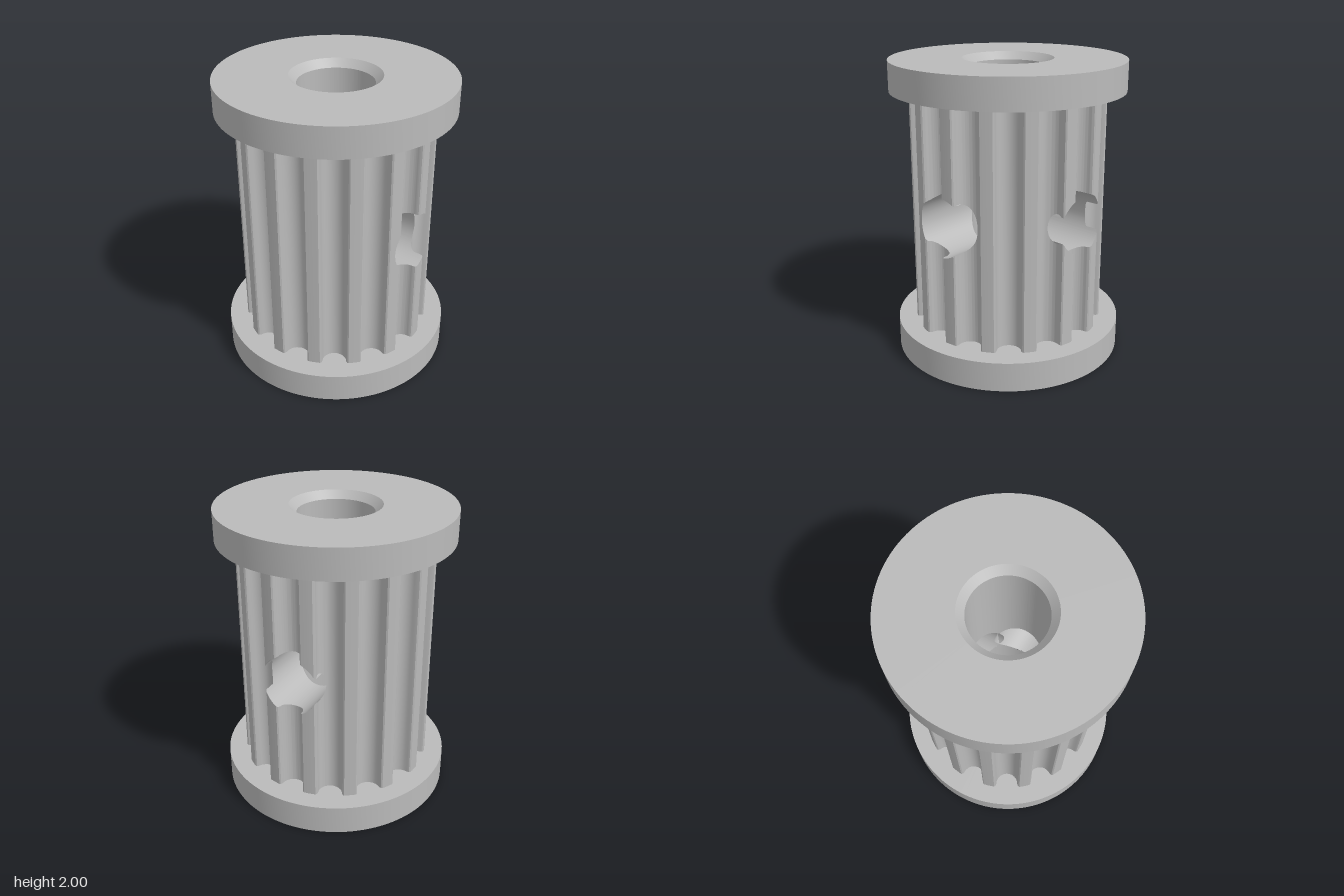
import * as THREE from 'three';
import { toCreasedNormals } from 'three/addons/utils/BufferGeometryUtils.js';

const TEETH = 15, R_OUT = 0.65, R_BORE = 0.25, R_HOLE = 0.2, MID = 1;
const GROOVE_R = 0.08, GROOVE_C = 0.622;
const rad = THREE.MathUtils.degToRad;

// Screw holes: u is the direction in plan (x, z), v is across it
const HOLES = [
  { u: [1, 0], v: [0, 1] },
  { u: [0, -1], v: [1, 0] },
];
const across = (hole, p) => p[0] * hole.v[0] + p[1] * hole.v[1];
const facing = (hole, p) => p[0] * hole.u[0] + p[1] * hole.u[1] > 0;
const halfHeight = (hole, p) => Math.sqrt(Math.max(0, R_HOLE ** 2 - across(hole, p) ** 2));
const mix = (a, b, t) => [a[0] + (b[0] - a[0]) * t, a[1] + (b[1] - a[1]) * t];

// Toothed outline in plan, one tooth lying at +z
function toothedOutline() {
  const pts = [];
  for (let i = 0; i < TEETH; i++) {
    const g = rad(102 + (i * 360) / TEETH), c = Math.cos(g), s = Math.sin(g);
    const add = (w, r) => pts.push([r * c - w * s, r * s + w * c]);
    add(-0.096, 0.643);
    add(-0.086, 0.637);
    for (let k = 0; k <= 12; k++) {
      const t = Math.PI * (k / 12);
      add(-GROOVE_R * Math.cos(t), GROOVE_C - GROOVE_R * Math.sin(t));
    }
    add(0.086, 0.637);
    add(0.096, 0.643);
    for (const deg of [10.8, 13.2]) add(R_OUT * Math.sin(rad(deg)), R_OUT * Math.cos(rad(deg)));
  }
  return pts;
}

function circleOutline(r, n) {
  return Array.from({ length: n }, (_, i) => {
    const a = (i / n) * Math.PI * 2;
    return [r * Math.cos(a), r * Math.sin(a)];
  });
}

// Add points near the holes, and exactly where the hole edges cross the outline
function refine(pts) {
  const out = [];
  pts.forEach((a, i) => {
    const b = pts[(i + 1) % pts.length];
    const ts = [0];
    for (const hole of HOLES) {
      if (!facing(hole, a)) continue;
      const da = across(hole, a), db = across(hole, b);
      if (Math.min(Math.abs(da), Math.abs(db)) > R_HOLE) continue;
      for (let k = 1; k < 6; k++) ts.push(k / 6);
      for (const edge of [-R_HOLE, R_HOLE]) {
        const t = (edge - da) / (db - da);
        if (t > 0 && t < 1) ts.push(t);
      }
    }
    ts.sort((p, q) => p - q).forEach((t) => out.push(mix(a, b, t)));
  });
  return out;
}

function quadBuilder() {
  const pos = [];
  return {
    quad(a, b, c, d) { for (const p of [a, b, c, a, c, d]) pos.push(...p); },
    build(crease) {
      const geo = new THREE.BufferGeometry();
      geo.setAttribute('position', new THREE.Float32BufferAttribute(pos, 3));
      return toCreasedNormals(geo, crease);
    },
  };
}

// Upright wall over an outline, split above and below the screw holes
function wall(pts, y0, y1) {
  const q = quadBuilder();
  const gap = (p) => Math.max(...HOLES.map((h) => (facing(h, p) ? halfHeight(h, p) : 0)));
  pts.forEach((a, i) => {
    const b = pts[(i + 1) % pts.length], ha = gap(a), hb = gap(b);
    const at = (p, y) => [p[0], y, p[1]];
    q.quad(at(a, y0), at(a, MID - ha), at(b, MID - hb), at(b, y0));
    q.quad(at(a, MID + ha), at(a, y1), at(b, y1), at(b, MID + hb));
  });
  return q.build(rad(35));
}

// Round inside of a screw hole, from the bore out to the toothed outline
function holeLining(hole, pts) {
  const q = quadBuilder();
  const bore = (p) => {
    const d = across(hole, p), r = Math.sqrt(R_BORE ** 2 - d * d);
    return [hole.u[0] * r + hole.v[0] * d, hole.u[1] * r + hole.v[1] * d];
  };
  const inside = (p) => facing(hole, p) && Math.abs(across(hole, p)) < R_HOLE + 1e-6;
  pts.forEach((a, i) => {
    const b = pts[(i + 1) % pts.length];
    if (!inside(a) || !inside(b)) return;
    const ai = bore(a), bi = bore(b);
    for (const side of [1, -1]) {
      const ya = MID + side * halfHeight(hole, a), yb = MID + side * halfHeight(hole, b);
      const A = [a[0], ya, a[1]], B = [b[0], yb, b[1]];
      const Ai = [ai[0], ya, ai[1]], Bi = [bi[0], yb, bi[1]];
      if (side > 0) q.quad(Ai, A, B, Bi);
      else q.quad(Ai, Bi, B, A);
    }
  });
  return q.build(rad(40));
}

// Flange ring with a chamfered bore mouth
function flange(profile) {
  const pts = profile.map(([x, y]) => new THREE.Vector2(x, y));
  return toCreasedNormals(new THREE.LatheGeometry(pts, 120), rad(30));
}

export function createModel() {
  const group = new THREE.Group();
  const metal = new THREE.MeshStandardMaterial({ color: 0xbababa });
  metal.name = 'grey metal';
  const add = (name, geo) => {
    const mesh = new THREE.Mesh(geo, metal);
    mesh.name = name;
    group.add(mesh);
  };

  const outline = refine(toothedOutline());
  add('toothedBarrel', wall(outline, 0.2, 1.8));
  add('boreWall', wall(refine(circleOutline(R_BORE, 120)).reverse(), 0.05, 1.95));
  HOLES.forEach((hole, i) => add(['sideScrewHole', 'backScrewHole'][i], holeLining(hole, outline)));

  const lower = [[R_BORE, 0.05], [0.3, 0], [0.777, 0], [0.777, 0.2], [0.5, 0.2]];
  add('bottomFlange', flange(lower));
  add('topFlange', flange(lower.map(([x, y]) => [x, 2 - y]).reverse()));
  return group;
}
